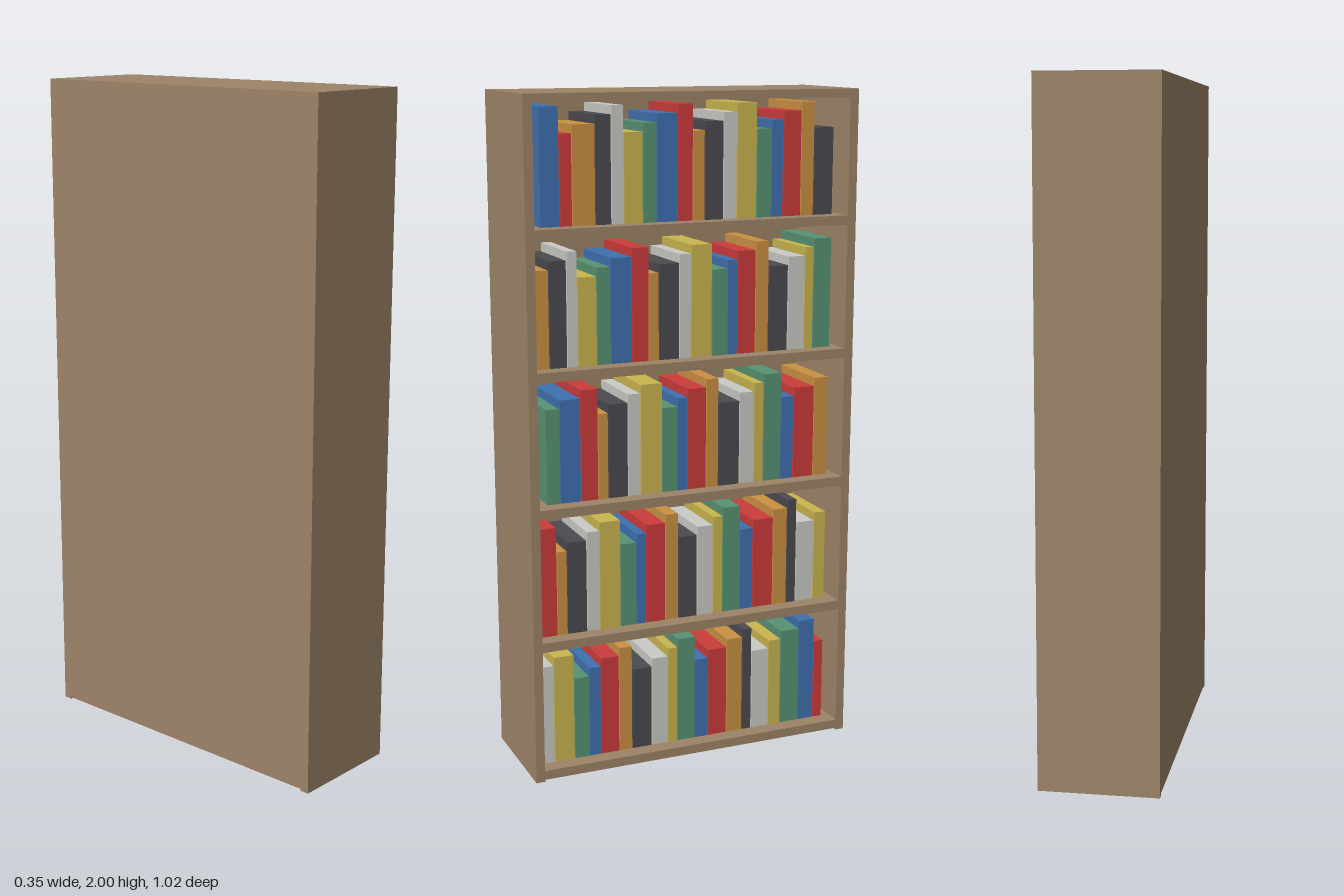
import * as THREE from 'three';

const mat = (name, color) => {
  const m = new THREE.MeshStandardMaterial({ color });
  m.name = name;
  return m;
};

export function createModel() {
  const group = new THREE.Group();
  const wood = mat('wood', 0x9e8468);
  const covers = [
    mat('blue', 0x3f70b0), mat('red', 0xcb3c3a), mat('orange', 0xcb9142), mat('charcoal', 0x4b4b50),
    mat('white', 0xcacac6), mat('yellow', 0xcab54f), mat('green', 0x579273),
  ];

  // Box given by its lower and upper corners
  const box = (name, material, x0, x1, y0, y1, z0, z1, parent = group) => {
    const mesh = new THREE.Mesh(new THREE.BoxGeometry(x1 - x0, y1 - y0, z1 - z0), material);
    mesh.position.set((x0 + x1) / 2, (y0 + y1) / 2, (z0 + z1) / 2);
    mesh.name = name;
    parent.add(mesh);
  };

  // Case, open towards +x
  const D = 0.175, W = 0.512, IN = 0.485;
  box('leftSide', wood, -D, D, 0, 2, IN, W);
  box('rightSide', wood, -D, D, 0, 2, -W, -IN);
  box('topBoard', wood, -D, D, 1.975, 2, -IN, IN);
  box('backPanel', wood, -D, -D + 0.015, 0.006, 1.975, -IN, IN);

  // Top surface of each shelf, from the highest down
  const shelves = [1.633, 1.233, 0.834, 0.433, 0.034];
  for (const y of shelves) box('shelf', wood, -D + 0.015, D, y - 0.028, y, -IN, IN);

  // Books: first z, first cover, first height, then spine widths
  const heights = [0.33, 0.255, 0.28, 0.305];
  const unit = 0.0053;
  const rows = [
    [0.451, 0, 0, [11, 7, 13, 9, 7, 11, 8, 12, 9, 7, 11, 8, 12, 9, 7, 11, 8, 12]],
    [0.485, 2, 2, [10.5, 10, 6, 11, 8, 12, 10, 6, 12, 7, 12.5, 9.5, 6, 11, 8, 12, 10.5, 5.5, 11]],
    [0.446, 6, 2, [8, 12, 10, 6, 11.5, 7.5, 13, 9, 6, 11.5, 7.5, 13, 9, 6, 11, 8, 13, 9]],
    [0.472, 1, 0, [10, 6, 11.5, 7.5, 12.5, 9.5, 6, 11.5, 8, 11.5, 10, 6, 11, 8, 13, 9, 6, 11.5, 7.5]],
    [0.477, 4, 3, [8, 12, 9, 7, 11, 8, 12, 10, 6, 11, 8, 12, 10, 6, 11, 8, 12, 10, 6]],
  ];
  rows.forEach(([start, cover, tall, widths], r) => {
    const books = new THREE.Group();
    books.name = 'bookRow';
    group.add(books);
    let z = start;
    widths.forEach((w, i) => {
      const next = z - w * unit;
      box('book', covers[(cover + i) % 7], -0.1, 0.125,
        shelves[r], shelves[r] + heights[(tall + i) % 4], next + 0.003, z, books);
      z = next;
    });
  });
  return group;
}
